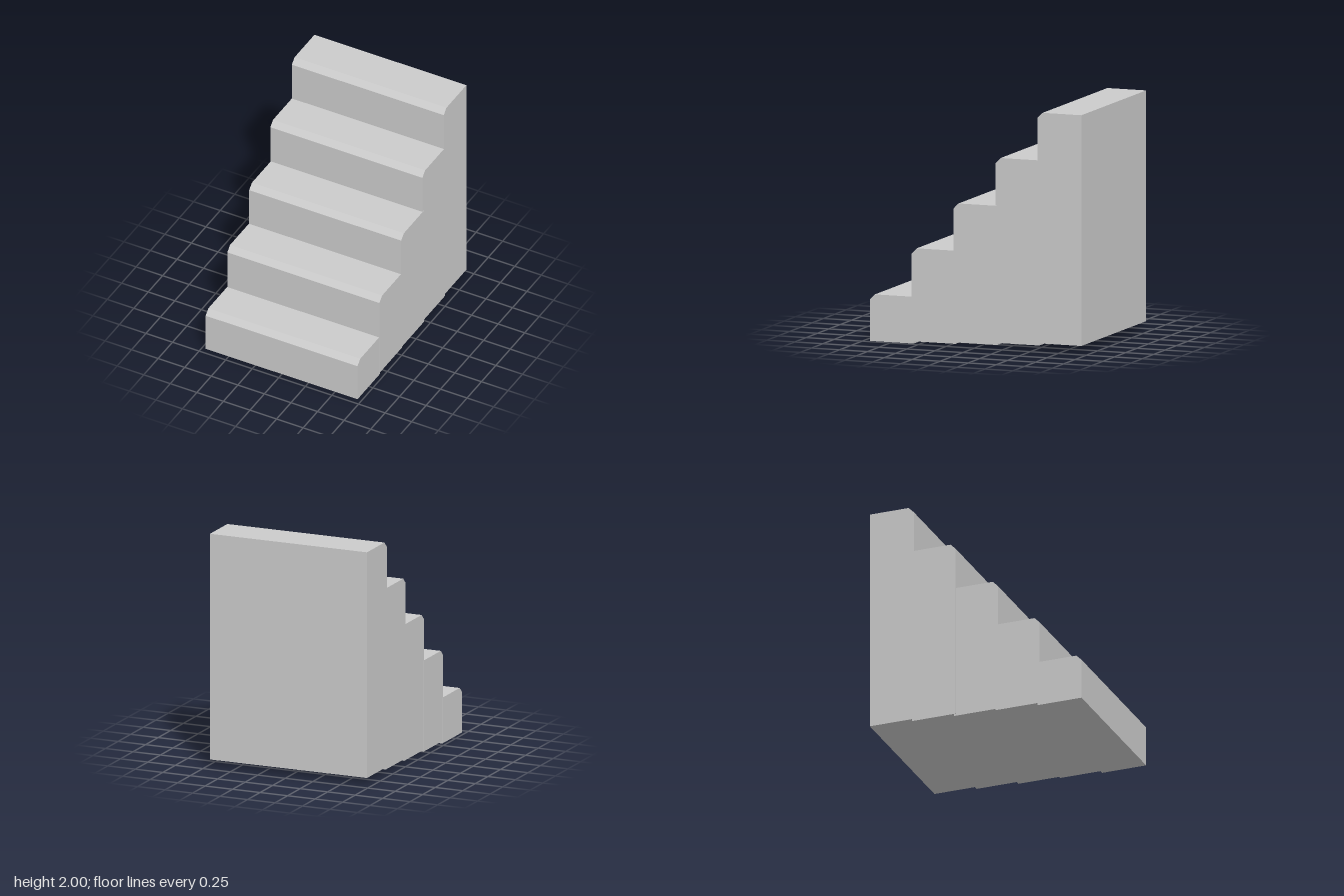
import * as THREE from 'three';

const material = new THREE.MeshStandardMaterial({ color: 0xcccccc, flatShading: true });
const CHAMFER = 0.046;

// One solid step: side profile with a bevelled nosing, extruded across x
function createStep({ front, back, bottom, top, x0, x1 }) {
  const profile = new THREE.Shape([
    new THREE.Vector2(back, bottom),
    new THREE.Vector2(front, bottom),
    new THREE.Vector2(front, top - CHAMFER),
    new THREE.Vector2(front - CHAMFER, top),
    new THREE.Vector2(back, top),
  ]);
  const geometry = new THREE.ExtrudeGeometry(profile, { depth: x1 - x0, bevelEnabled: false });
  geometry.rotateY(-Math.PI / 2); // profile x becomes z, depth runs towards -x
  geometry.translate(x1, 0, 0);
  return new THREE.Mesh(geometry, material);
}

export function createModel() {
  const group = new THREE.Group();
  group.name = 'staircase';

  // Slightly uneven blocks: top height, underside height and side faces
  const steps = [
    { top: 0.392, bottom: 0, x0: -0.717, x1: 0.712 },
    { top: 0.8, bottom: 0.02, x0: -0.716, x1: 0.715 },
    { top: 1.198, bottom: 0.033, x0: -0.713, x1: 0.717 },
    { top: 1.6, bottom: 0.05, x0: -0.717, x1: 0.714 },
    { top: 2, bottom: 0.068, x0: -0.717, x1: 0.712 },
  ];

  // Each block overlaps the next one a little in depth
  steps.forEach((step, i) => {
    const front = 0.947 - i * 0.374;
    const mesh = createStep({ ...step, front, back: front - 0.392 });
    mesh.name = `step${i + 1}`;
    group.add(mesh);
  });

  return group;
}
